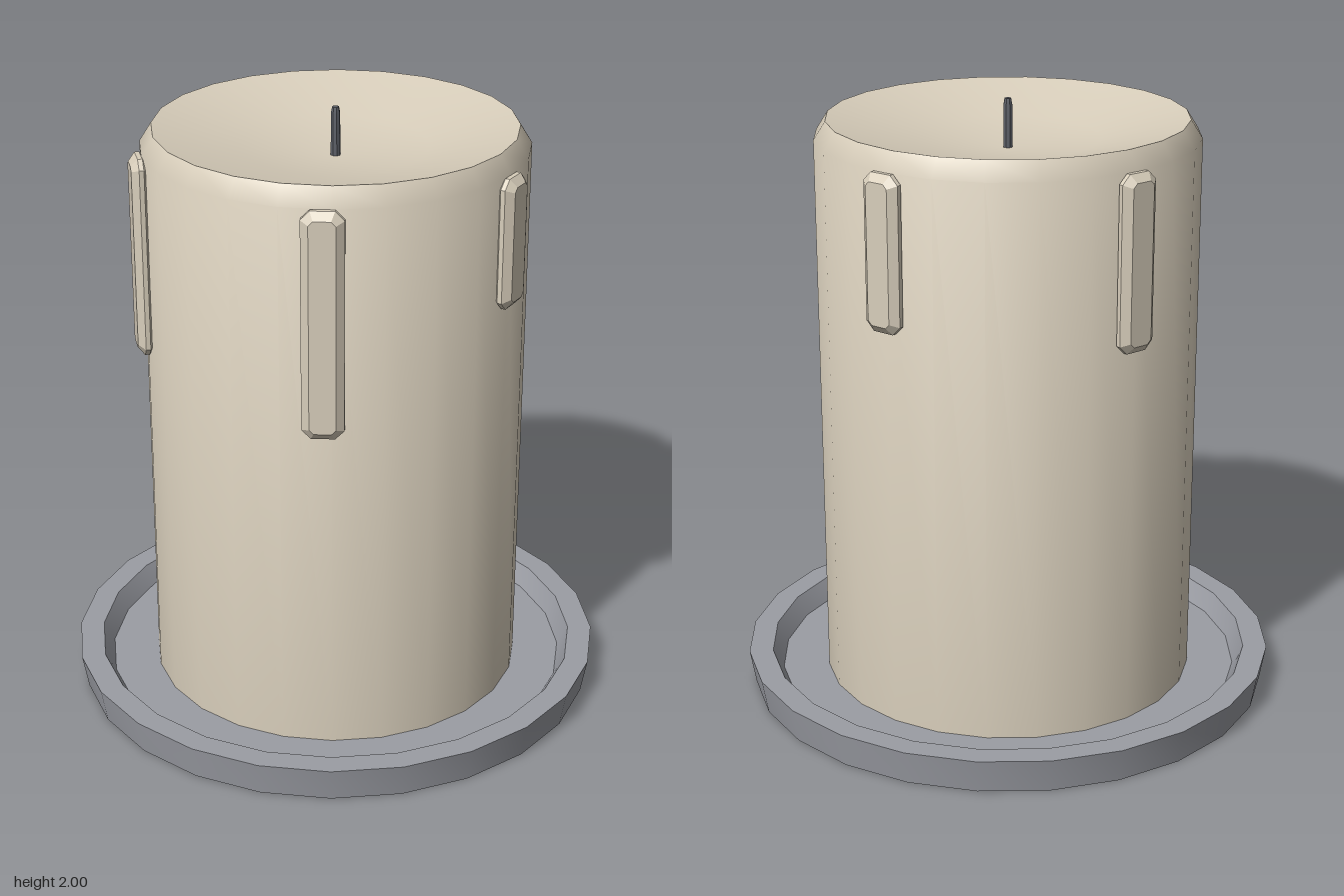
import * as THREE from 'three';
import { toCreasedNormals } from 'three/addons/utils/BufferGeometryUtils.js';

const SIDES = 24;

const makeMaterial = (name, color) => {
  const m = new THREE.MeshStandardMaterial({ color });
  m.name = name;
  return m;
};

// Turned solid from [radius, height] pairs, smooth around and sharp at strong edges
function turned(name, profile, material, sides = SIDES) {
  const points = profile.map(([r, y]) => new THREE.Vector2(r, y));
  const geometry = toCreasedNormals(new THREE.LatheGeometry(points, sides), 0.7);
  const mesh = new THREE.Mesh(geometry, material);
  mesh.name = name;
  return mesh;
}

// Bevelled bar of wax lying flat against the candle wall
function waxDrip(angle, bottom, material) {
  const top = 1.885, bevel = 0.025, corner = 0.014;
  const w = 0.066 - bevel, h = (top - bottom) / 2 - bevel;
  const shape = new THREE.Shape([
    [w, -h + corner], [w, h - corner], [w - corner, h], [-w + corner, h],
    [-w, h - corner], [-w, -h + corner], [-w + corner, -h], [w - corner, -h],
  ].map(([x, y]) => new THREE.Vector2(x, y)));
  const geometry = new THREE.ExtrudeGeometry(shape, {
    depth: 0.015, bevelEnabled: true, bevelSegments: 1,
    bevelSize: bevel, bevelThickness: 0.022,
  });
  geometry.translate(0, (top + bottom) / 2, 0.619);
  geometry.rotateY(angle);
  const mesh = new THREE.Mesh(geometry, material);
  mesh.name = 'waxDrip';
  return mesh;
}

export function createModel() {
  const wax = makeMaterial('cream wax', 0xd8cebb);
  const metal = makeMaterial('grey metal', 0x9b9da4);
  const dark = makeMaterial('dark wick', 0x5c5f67);
  const group = new THREE.Group();
  group.name = 'candle';

  // Dish with a raised rim
  group.add(turned('dish', [
    [0, 0], [0.87, 0], [0.89, 0.115], [0.81, 0.115], [0.775, 0.05], [0, 0.05],
  ], metal));

  // Candle with a bevelled top edge and a shallow melted hollow
  group.add(turned('candleBody', [
    [0.62, 0.045], [0.62, 1.885], [0.582, 1.945], [0.3, 1.875], [0, 1.84],
  ], wax));

  // Wick
  group.add(turned('wick', [
    [0.016, 1.82], [0.015, 1.98], [0.011, 2], [0, 2],
  ], dark, 8));

  // Drips: angle around the candle from the front towards +x, and lowest point
  const drips = [[90, 1.46], [27.5, 1.15], [-46.5, 1.225], [-120.5, 1.32], [164.5, 1.385]];
  for (const [degrees, bottom] of drips) {
    group.add(waxDrip(THREE.MathUtils.degToRad(degrees), bottom, wax));
  }
  return group;
}
